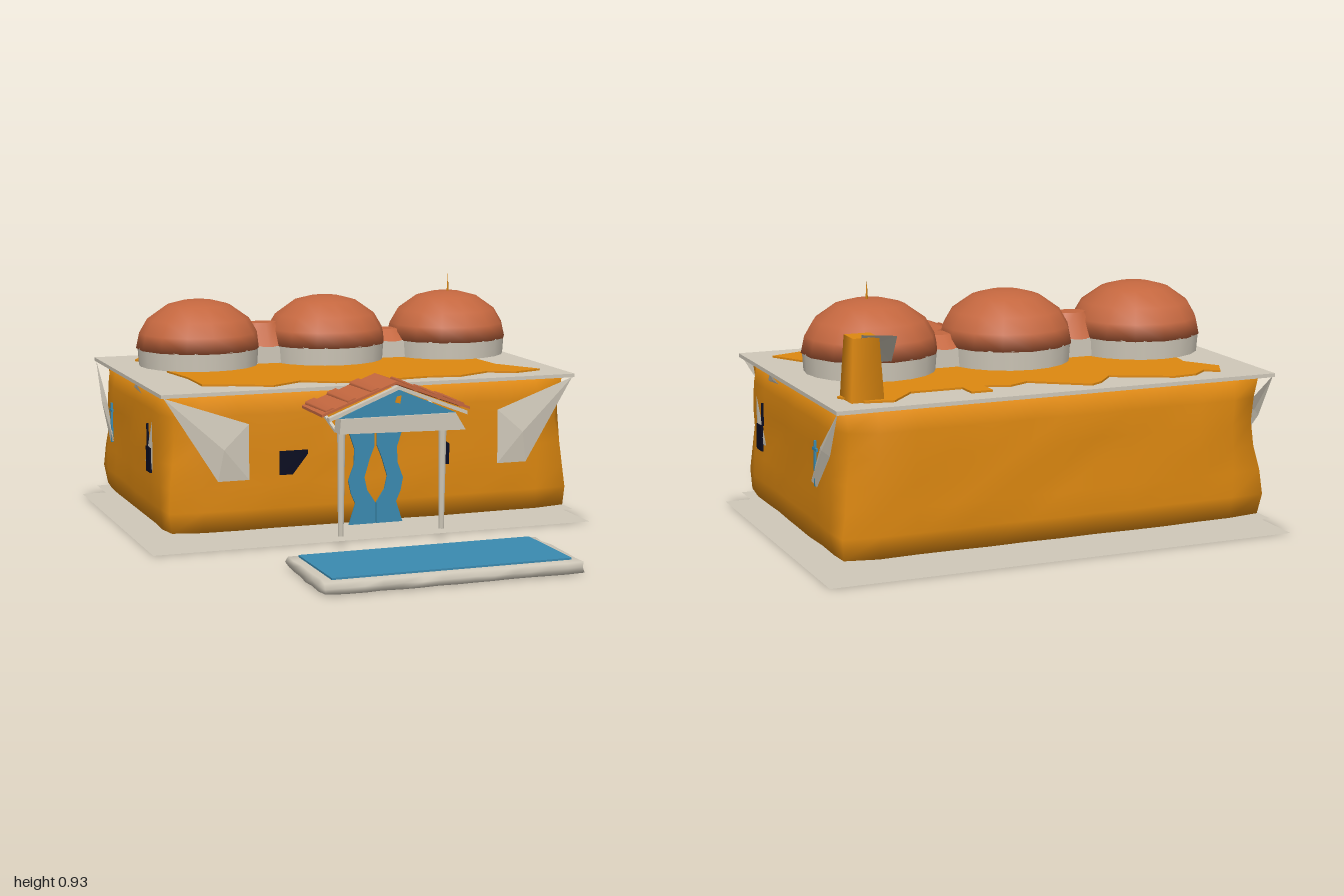
import * as THREE from 'three';
import { mergeVertices } from 'three/addons/utils/BufferGeometryUtils.js';

const paint = (name, color) => {
  const m = new THREE.MeshStandardMaterial({ color, side: THREE.DoubleSide });
  m.name = name;
  return m;
};

export function createModel() {
  const model = new THREE.Group();
  model.name = 'domedVilla';
  const stone = paint('paleStone', 0xcfc8b9);
  const ochre = paint('ochrePlaster', 0xdd8810);
  const clay = paint('terracotta', 0xc4673f);
  const blue = paint('blue', 0x3a8ab0);
  const dark = paint('darkGlass', 0x080a20);

  let seed = 7;
  const rand = () => (seed = (seed * 16807) % 2147483647) / 2147483647;

  const add = (name, geo, mat, x = 0, y = 0, z = 0) => {
    const m = new THREE.Mesh(geo, mat);
    m.name = name;
    m.position.set(x, y, z);
    model.add(m);
    return m;
  };
  const box = (name, mat, x0, x1, y0, y1, z0, z1) =>
    add(name, new THREE.BoxGeometry(x1 - x0, y1 - y0, z1 - z0), mat, (x0 + x1) / 2, (y0 + y1) / 2, (z0 + z1) / 2);
  const sheet = (name, w, d, y, z) => add(name, new THREE.PlaneGeometry(w, d).rotateX(-Math.PI / 2), stone, 0, y, z);
  const plate = (pts, depth) => new THREE.ExtrudeGeometry(
    new THREE.Shape(pts.map((p) => new THREE.Vector2(...p))), { depth, bevelEnabled: false });
  // fan of facets around a centre point
  const fan = (centre, rim) => {
    const v = [];
    rim.forEach((p, i) => v.push(...centre, ...p, ...rim[(i + 1) % rim.length]));
    const g = new THREE.BufferGeometry();
    g.setAttribute('position', new THREE.Float32BufferAttribute(v, 3));
    g.computeVertexNormals();
    return g;
  };
  // worn block: rounded edges, a little wobble and pinched upright corners
  const wornBlock = (w, h, d, segs, r, wobble, pinch) => {
    let g = new THREE.BoxGeometry(w, h, d, ...segs);
    g.deleteAttribute('uv');
    g.deleteAttribute('normal');
    g = mergeVertices(g);
    const p = g.attributes.position;
    const v = new THREE.Vector3(), c = new THREE.Vector3();
    const max = new THREE.Vector3(w / 2 - r, h / 2 - r, d / 2 - r);
    const min = max.clone().negate();
    for (let i = 0; i < p.count; i++) {
      v.fromBufferAttribute(p, i);
      c.copy(v).clamp(min, max);
      const corner = Math.abs(v.x) > w * 0.49 && Math.abs(v.z) > d * 0.49;
      const pull = corner ? pinch * Math.max(0, 1 - Math.abs(v.y / h - 0.2) * 2.2) : 0;
      v.sub(c).setLength(r).add(c);
      v.x -= Math.sign(v.x) * (rand() * wobble + pull);
      v.z -= Math.sign(v.z) * (rand() * wobble + pull);
      p.setXYZ(i, v.x, v.y, v.z);
    }
    g.computeVertexNormals();
    return g;
  };

  // ground sheet, raised floor, walls and flat roof
  sheet('groundSheet', 1.76, 1.21, 0, -0.395);
  sheet('floor', 1.66, 1.1, 0.044, -0.39);
  add('walls', wornBlock(1.63, 0.535, 1.1, [12, 6, 9], 0.035, 0.01, 0.035), ochre, 0, 0.314, -0.385);
  box('flatRoof', stone, -0.83, 0.83, 0.569, 0.583, -0.945, 0.16);
  const patch = plate([
    [-0.7, -0.77], [-0.66, -0.85], [-0.61, -0.82], [-0.55, -0.87], [-0.46, -0.88], [-0.25, -0.78],
    [-0.18, -0.86], [-0.13, -0.89], [0.06, -0.76], [0.14, -0.8], [0.23, -0.77], [0.23, -0.85],
    [0.31, -0.85], [0.31, -0.77], [0.5, -0.77], [0.6, -0.88], [0.7, -0.86], [0.76, -0.75],
    [0.6, -0.6], [0.63, -0.16], [0.74, 0.03], [0.62, 0.07], [0.52, 0.02], [0.38, 0.09],
    [0.25, 0.07], [0, 0.1], [-0.13, 0.09], [-0.25, 0.02], [-0.38, 0.1], [-0.52, 0.03],
    [-0.63, 0], [-0.63, -0.2], [-0.66, -0.4], [-0.62, -0.65],
  ], 0.008);
  add('roofPlaster', patch.rotateX(Math.PI / 2), ochre, 0, 0.59, 0);

  // three domes on drums, joined by drooping saddles
  const domeProfile = [[0, 0.675], [0.245, 0.675], [0.232, 0.735], [0.2, 0.79], [0.125, 0.843], [0.06, 0.86], [0, 0.862]]
    .map((p) => new THREE.Vector2(...p));
  for (const x of [-0.525, 0, 0.525]) {
    add('dome', new THREE.LatheGeometry(domeProfile, 14), clay, x, 0, -0.433);
    add('drum', new THREE.CylinderGeometry(0.24, 0.235, 0.07, 20), stone, x, 0.643, -0.433);
  }
  for (const [x, top] of [[-0.262, 0.765], [0.262, 0.72]]) {
    const saddle = add('domeSaddle', new THREE.CylinderGeometry(0.06, 0.13, top - 0.675, 10), clay, x, (top + 0.675) / 2, -0.43);
    saddle.scale.z = 0.75;
    box('drumLink', stone, x - 0.1, x + 0.1, 0.61, 0.677, -0.52, -0.34);
  }
  add('finial', new THREE.ConeGeometry(0.005, 0.075, 4), ochre, 0.535, 0.895, -0.435);

  // chimney with its stone flap
  add('chimney', new THREE.CylinderGeometry(0.066, 0.083, 0.22, 4, 1).rotateY(Math.PI / 4), ochre, 0.685, 0.69, -0.79);
  add('chimneyFlap', fan([0.63, 0.765, -0.77],
    [[0.53, 0.67, -0.66], [0.65, 0.69, -0.67], [0.71, 0.815, -0.86], [0.585, 0.805, -0.865]]), stone);

  // stone surrounds stretched from the roof corners, and the windows
  for (const s of [-1, 1]) {
    add('frontSurround', fan([s * 0.6, 0.37, 0.185],
      [[s * 0.82, 0.57, 0.158], [s * 0.5, 0.46, 0.17], [s * 0.5, 0.25, 0.17], [s * 0.62, 0.25, 0.17]]), stone);
    add('rearSideSurround', fan([s * 0.835, 0.42, -0.8],
      [[s * 0.825, 0.575, -0.94], [s * 0.822, 0.42, -0.75], [s * 0.822, 0.28, -0.65], [s * 0.822, 0.27, -0.71], [s * 0.822, 0.41, -0.85]]), stone);
    add('sideSurround', fan([s * 0.824, 0.34, -0.05],
      [[s * 0.82, 0.46, -0.02], [s * 0.82, 0.29, -0.13], [s * 0.82, 0.27, -0.02]]), stone);
    add('eaveChip', fan([s * 0.825, 0.555, -0.24],
      [[s * 0.83, 0.575, -0.22], [s * 0.82, 0.54, -0.17], [s * 0.82, 0.55, -0.3]]), stone);
    box('sideWindow', dark, s * 0.823 - 0.004, s * 0.823 + 0.004, 0.26, 0.355, -0.095, -0.035);
    box('sideMullion', dark, s * 0.82 - 0.004, s * 0.82 + 0.004, 0.355, 0.44, -0.094, -0.088);
    box('rearMullion', blue, s * 0.82 - 0.004, s * 0.82 + 0.004, 0.27, 0.43, -0.693, -0.684);
    box('rearCrossbar', blue, s * 0.82 - 0.004, s * 0.82 + 0.004, 0.395, 0.405, -0.71, -0.67);
  }
  add('wideWindow', plate([[-0.38, 0.26], [-0.33, 0.26], [-0.27, 0.335], [-0.27, 0.35], [-0.38, 0.35]], 0.006), dark, 0, 0, 0.163);
  add('slimWindow', plate([[0.265, 0.35], [0.265, 0.285], [0.28, 0.26], [0.3, 0.26], [0.3, 0.34], [0.285, 0.35]], 0.006), dark, 0, 0, 0.163);

  // pair of curved doors with a diamond gap
  for (const s of [-1, 1]) {
    add('door', plate([
      [s * 0.108, 0.05], [s * 0.002, 0.05], [s * 0.002, 0.13], [s * 0.035, 0.18], [s * 0.046, 0.23], [s * 0.025, 0.3],
      [s * 0.005, 0.35], [s * 0.005, 0.4], [s * 0.105, 0.4], [s * 0.085, 0.34], [s * 0.088, 0.28],
      [s * 0.11, 0.22], [s * 0.1, 0.17], [s * 0.082, 0.13],
    ], 0.008), blue, 0, 0, 0.162);
  }

  // portico: chevron roof, gable, beam and slim columns
  const chevron = (w, eave, ridge, t) => [[-w, eave], [0, ridge], [w, eave], [w, eave - t], [0, ridge - t], [-w, eave - t]];
  add('porticoRoof', plate(chevron(0.29, 0.517, 0.625, 0.01), 0.235), clay, 0, 0, 0.157);
  for (const s of [-1, 1]) {
    for (const u of [0.08, 0.17, 0.255]) {
      const tile = add('tileRow', new THREE.CylinderGeometry(0.01, 0.014, 0.225, 5).rotateX(Math.PI / 2), clay, s * u, 0.622 - u * 0.37, 0.272);
      tile.scale.x = 2.2;
      tile.rotation.z = -s * 0.356;
    }
    const column = add('column', new THREE.CylinderGeometry(0.016, 0.011, 0.4, 8), stone, s * 0.2, 0.25, 0.342);
    column.rotation.x = 0.02;
    const strut = add('porticoStrut', new THREE.BoxGeometry(0.012, 0.01, 0.2), stone, s * 0.22, 0.475, 0.25);
    strut.rotation.x = 0.3;
  }
  add('gableTrim', plate(chevron(0.27, 0.506, 0.612, 0.014), 0.025), stone, 0, 0, 0.392);
  add('gable', plate([[-0.23, 0.5], [0.23, 0.5], [0, 0.598]], 0.006), blue, 0, 0, 0.398);
  add('gableMark', plate([[-0.012, 0.55], [0.008, 0.545], [0.012, 0.575], [-0.005, 0.57]], 0.004), ochre, 0, 0, 0.404);
  add('porticoBeam', plate([[-0.23, 0.445], [0.265, 0.435], [0.225, 0.5], [-0.225, 0.5]], 0.06), stone, 0, 0, 0.355);

  // pool: worn stone rim and water
  add('poolRim', wornBlock(0.98, 0.046, 0.45, [14, 2, 6], 0.01, 0.014, 0), stone, 0, 0.024, 0.778);
  box('poolWater', blue, -0.447, 0.447, 0.046, 0.053, 0.59, 0.955);
  return model;
}
